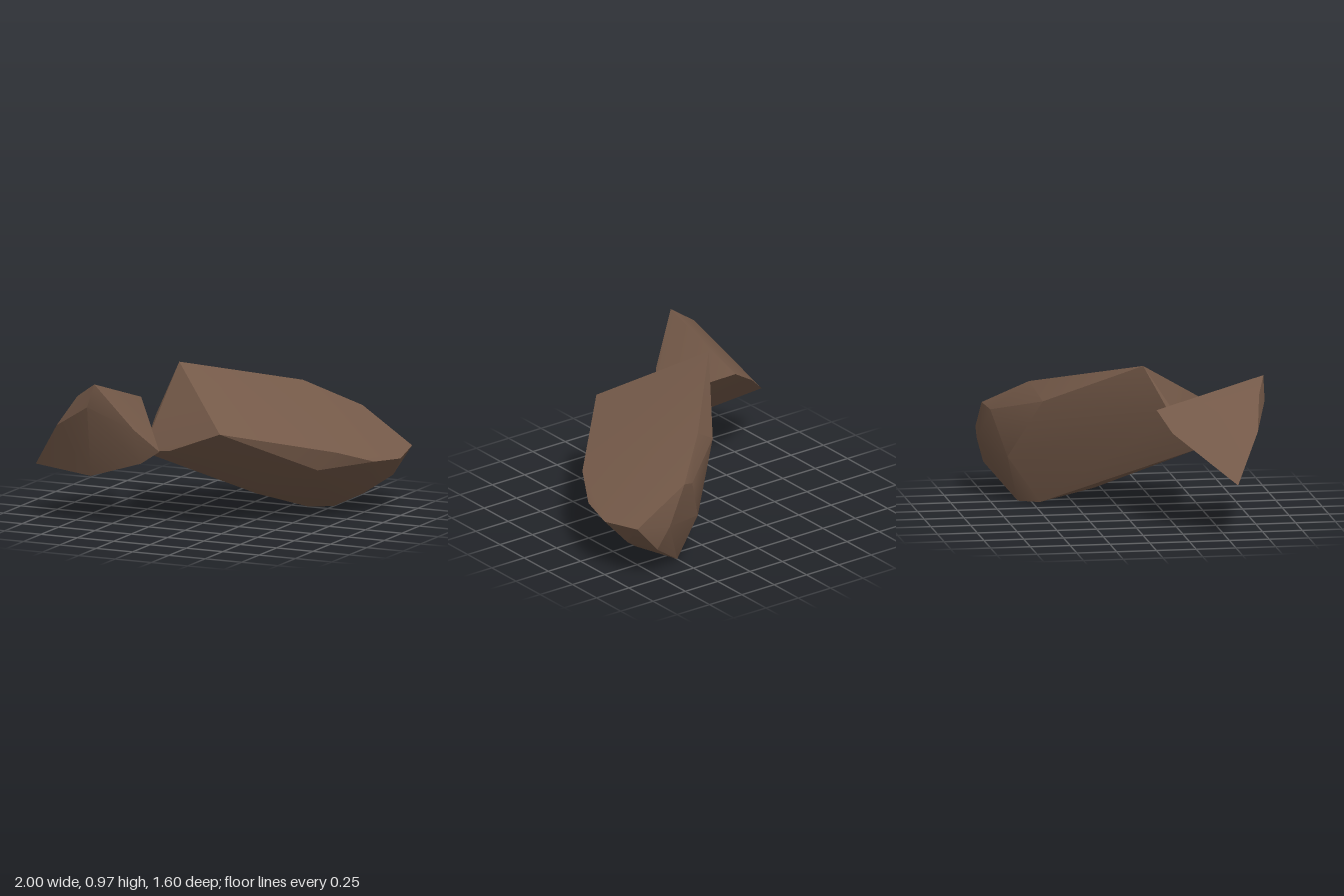
import * as THREE from 'three';
import { toCreasedNormals } from 'three/addons/utils/BufferGeometryUtils.js';
import { ConvexGeometry } from 'three/addons/geometries/ConvexGeometry.js';

const brownStone = new THREE.MeshStandardMaterial({ color: 0x755a49 });
brownStone.name = 'brownStone';

// Convex chipped stone: shallow facets are smoothed, strong edges stay sharp
function stone(name, corners) {
  const points = corners.map(c => new THREE.Vector3(...c));
  const geometry = toCreasedNormals(new ConvexGeometry(points), 0.45);
  const mesh = new THREE.Mesh(geometry, brownStone);
  mesh.name = name;
  return mesh;
}

export function createModel() {
  const group = new THREE.Group();
  group.name = 'brokenRocks';

  // Long slab with a sloping top and a rounded belly
  group.add(stone('largeRock', [
    // rim of the sloping top
    [-0.24, 0.97, 0.085], [0.27, 0.64, 0.565], [0.8, 0.47, 0], [0.94, 0.38, -0.25],
    [1, 0.36, -0.5], [0.95, 0.39, -0.77], [0.6, 0.61, -0.79], [0.31, 0.79, -0.54],
    // broken near end
    [-0.32, 0.66, 0.25], [-0.33, 0.455, 0.42], [-0.11, 0.49, 0.49],
    // back flank
    [0.15, 0.69, -0.48], [0.51, 0.58, -0.75], [0.72, 0.36, -0.8], [0.4, 0.3, -0.66],
    // front flank and belly
    [0.7, 0.36, 0.06], [0.33, 0.25, 0.1], [0.6, 0.11, -0.3], [0.75, 0.12, -0.49],
    [0.9, 0.23, -0.6], [0.78, 0.2, -0.75], [0.5, 0, -0.58], [0.38, 0.01, -0.46],
    [0.4, 0.08, -0.26], [0.18, 0.13, -0.15],
  ]));

  // Smaller wedge leaning against the broken end
  group.add(stone('smallRock', [
    // peak and front ridge
    [-0.48, 0.935, 0.8], [-0.53, 0.785, 0.8], [-0.62, 0.84, 0.75], [-0.78, 0.635, 0.715],
    // side tips and base
    [-1, 0.345, 0.555], [-0.61, 0.305, 0.58], [-0.27, 0.41, 0.57],
    [-0.155, 0.49, 0.545], [-0.27, 0.64, 0.67],
    // back edge
    [-0.48, 0.735, 0.13], [-0.66, 0.62, 0.2],
  ]));

  return group;
}
